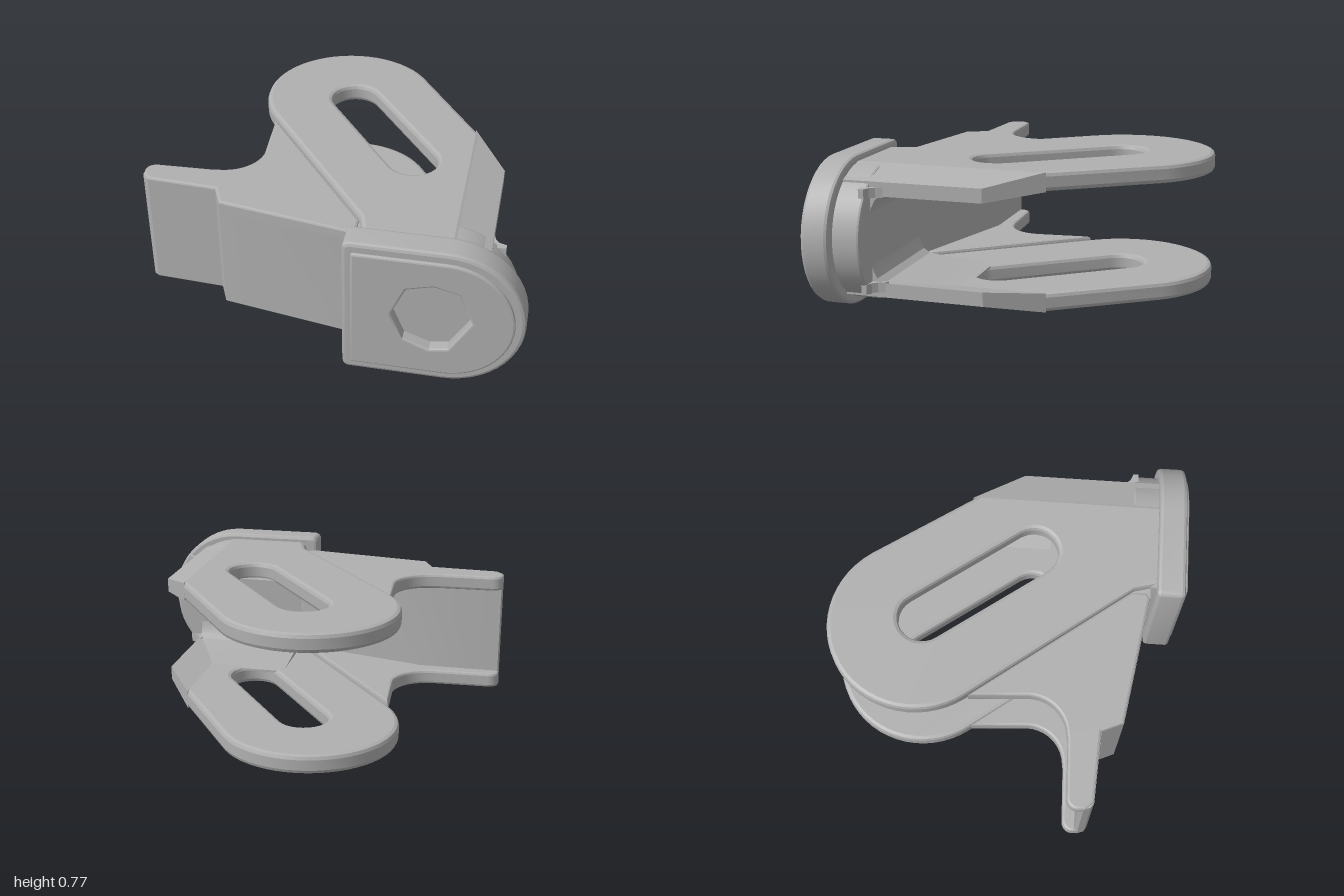
import * as THREE from 'three';
import { toCreasedNormals } from 'three/addons/utils/BufferGeometryUtils.js';

const MID = 0.3875; // height of the symmetry plane

// points of an arc, angles in degrees
function arc(cx, cy, r, a0, a1, n) {
  const pts = [];
  for (let i = 0; i <= n; i++) {
    const a = THREE.MathUtils.degToRad(a0 + ((a1 - a0) * i) / n);
    pts.push([cx + r * Math.cos(a), cy + r * Math.sin(a)]);
  }
  return pts;
}

// closed outline as vectors, always counter-clockwise
function toVectors(pts) {
  const list = pts.map(([x, y]) => new THREE.Vector2(x, y));
  return THREE.ShapeUtils.isClockWise(list) ? list.reverse() : list;
}

// extrude an outline from d0 to d1 along z, with the bevel kept inside the outline
function slab(pts, d0, d1, bevel = 0, hole = null) {
  const shape = new THREE.Shape(toVectors(pts));
  if (hole) shape.holes.push(new THREE.Path(toVectors(hole).reverse()));
  const geo = new THREE.ExtrudeGeometry(shape, {
    depth: d1 - d0 - 2 * bevel,
    bevelEnabled: bevel > 0,
    bevelThickness: bevel,
    bevelSize: bevel,
    bevelOffset: -bevel,
    bevelSegments: 2,
  });
  return geo.translate(0, 0, d0 + bevel);
}

// same, for an outline given as (x, z) and extruded upwards
function plate(pts, y0, y1, bevel = 0, hole = null) {
  const flip = (list) => list.map(([x, z]) => [x, -z]);
  return slab(flip(pts), y0, y1, bevel, hole && flip(hole)).rotateX(-Math.PI / 2);
}

// D outline: straight left side with small rounded corners, round right side
function dShape(x0, cx, r, corner) {
  return [
    ...arc(cx, MID, r, -90, 90, 24),
    ...arc(x0 + corner, MID + r - corner, corner, 90, 180, 4),
    ...arc(x0 + corner, MID - r + corner, corner, 180, 270, 4),
  ];
}

export function createModel() {
  const model = new THREE.Group();
  model.name = 'forkedBracket';
  const metal = new THREE.MeshStandardMaterial({ color: 0xb0b0b0 });
  metal.name = 'greyMetal';

  const add = (name, geo) => {
    const mesh = new THREE.Mesh(toCreasedNormals(geo, 0.35), metal);
    mesh.name = name;
    model.add(mesh);
  };

  // fork arm outline (x, z): round rear end, slanted sides, square front
  const armOutline = [
    ...arc(-0.1, -0.46, 0.46, 143, 323, 28),
    [0.645, -0.188],
    [0.645, 0.78],
    [0.2, 0.78],
    [0.16, 0.64],
  ];
  const slot = [
    ...arc(-0.068, -0.432, 0.128, 143, 323, 14),
    ...arc(0.336, 0.114, 0.128, -37, 143, 14),
  ];
  const wingOutline = [[0.62, -0.225], [0.8, 0.04], [0.8, 0.78], [0.62, 0.78]];

  // lever flange outline (x, z)
  const leverOutline = [
    [-0.46, -0.17],
    ...arc(-0.64, 0.14, 0.2, 0, 85, 10),
    [-0.66, 0.345],
    [-0.94, 0.355],
    ...arc(-0.945, 0.41, 0.055, 265, 180, 5),
    [-0.995, 0.45],
    [-0.96, 0.49],
    [-0.6, 0.51],
    [-0.55, 0.62],
    [0.13, 0.73],
    [0.155, 0.71],
    [0.155, 0.63],
  ];

  for (const side of [1, -1]) {
    const label = side > 0 ? 'upper' : 'lower';
    const span = (inner, outer) =>
      side > 0 ? [MID + inner, MID + outer] : [MID - outer, MID - inner];

    // slotted arm
    add(label + 'Arm', plate(armOutline, ...span(0.255, 0.3525), 0.022, slot));

    // sloping outer edge of the arm, lowered towards its free side
    const wing = plate(wingOutline, ...span(0.255, 0.3525));
    const pos = wing.attributes.position;
    for (let i = 0; i < pos.count; i++) {
      const t = (pos.getX(i) - 0.62) / 0.18;
      const outer = Math.abs(pos.getY(i) - MID) > 0.3;
      pos.setY(i, pos.getY(i) - side * t * (outer ? 0.06 : 0.035));
    }
    wing.computeVertexNormals();
    add(label + 'ArmSlope', wing);

    // curved root between the arm and the boss, profile in (z, y)
    const root = [
      [0.66, 0.27], [0.66, 0.1], [0.625, 0.11], [0.615, 0.16],
      [0.595, 0.2], [0.56, 0.222], [0.5, 0.23], [0.2, 0.258], [0.2, 0.27],
    ].map(([z, h]) => [-z, MID + side * h]);
    add(label + 'ArmRoot', slab(root, 0.19, 0.795).rotateY(Math.PI / 2));

    // concave corner between the arm edge and the boss
    add(label + 'ArmFillet', plate([
      [0.78, 0.54], [0.8, 0.55], [0.81, 0.585], [0.83, 0.61], [0.865, 0.622], [0.865, 0.65], [0.78, 0.65],
    ], ...span(0.215, 0.265)));

    // lever flange
    add(label + 'LeverFlange', plate(leverOutline, ...span(0.24, 0.32), 0.014));
  }

  // thin web joining the lever flanges, thicker towards the boss
  add('leverWeb', plate([
    [-0.99, 0.42], [-0.998, 0.44], [-0.985, 0.475], [-0.96, 0.49], [-0.6, 0.51],
    [-0.55, 0.62], [0.13, 0.73], [0.22, 0.73], [0.22, 0.63], [-0.56, 0.42],
  ], MID - 0.31, MID + 0.31));

  // boss behind the mounting flange; its front is the floor of the recess
  add('boss', slab(dShape(0.18, 0.592, 0.35, 0.04), 0.62, 0.86, 0.012));

  // mounting flange with a raised face and a recess
  add('mountingFlange', slab(dShape(0.12, 0.615, 0.3845, 0.035), 0.76, 0.905, 0.018,
    arc(0.56, MID, 0.25, 0, 345, 23)));
  add('raisedFace', slab(dShape(0.165, 0.615, 0.335, 0.012), 0.85, 0.92, 0.01, [
    [0.36, 0.39], [0.43, 0.55], [0.56, 0.585], [0.68, 0.555],
    [0.748, 0.39], [0.64, 0.215], [0.55, 0.197], [0.42, 0.245],
  ]));

  return model;
}
